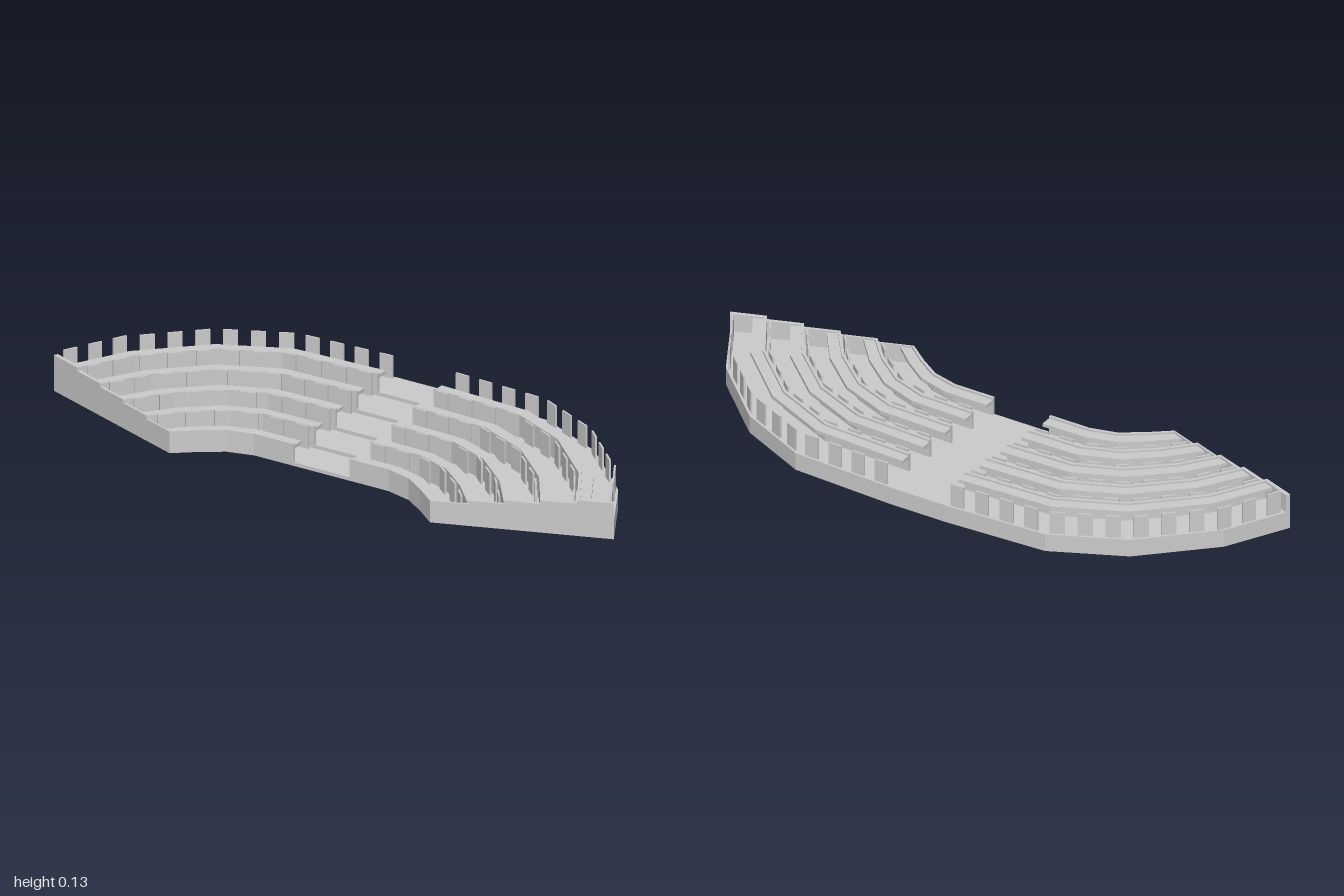
import * as THREE from 'three';

const TIERS = 5, RISE = 0.0117, DESK = 0.0605;
// Half plan (x, z) of the innermost and outermost edges, from aisle to end
const INNER = [[0.1, 0.235], [0.24, 0.235], [0.325, 0.257], [0.395, 0.303], [0.465, 0.358]];
const OUTER = [[0.1, -0.362], [0.445, -0.345], [0.68, -0.235], [0.89, -0.035], [1, 0.165]];
const mat = new THREE.MeshStandardMaterial({ color: 0xcccccc, side: THREE.DoubleSide, flatShading: true });

// Plan point: s runs 0..4 along the half row, t runs 0..1 from inside to outside
function plan(side, s, t) {
  const i = Math.min(3, Math.floor(s)), f = s - i, mix = THREE.MathUtils.lerp;
  const at = (c, a) => mix(c[i][a], c[i + 1][a], f);
  return new THREE.Vector2(side * mix(at(INNER, 0), at(OUTER, 0), t), mix(at(INNER, 1), at(OUTER, 1), t));
}

// Sweep a rectangular section (t0..t1, y0..y1) along stations [side, s], ordered from -x to +x
function band(name, stations, t0, t1, y0, y1) {
  const pos = [], idx = [];
  for (const [side, s] of stations) {
    const a = plan(side, s, t0), b = plan(side, s, t1);
    pos.push(a.x, y0, a.y, a.x, y1, a.y, b.x, y1, b.y, b.x, y0, b.y);
  }
  const last = (stations.length - 1) * 4;
  for (let i = 0; i < last; i += 4) {
    for (let j = 0; j < 4; j++) {
      const k = (j + 1) % 4;
      idx.push(i + j, i + 4 + j, i + 4 + k, i + j, i + 4 + k, i + k);
    }
  }
  idx.push(0, 1, 2, 0, 2, 3, last, last + 2, last + 1, last, last + 3, last + 2);
  const indexed = new THREE.BufferGeometry();
  indexed.setAttribute('position', new THREE.Float32BufferAttribute(pos, 3));
  indexed.setIndex(idx);
  const geo = indexed.toNonIndexed();
  geo.computeVertexNormals();
  const mesh = new THREE.Mesh(geo, mat);
  mesh.name = name;
  return mesh;
}

// Stations for one half, always ordered by rising x
const half = (side, list = [0, 1, 2, 3, 4]) => {
  const st = list.map((s) => [side, s]);
  return side < 0 ? st.reverse() : st;
};

// Row of upright seat backs spaced evenly along one half tier
function seatRow(side, t, floorY) {
  const row = new THREE.Group();
  row.name = 'seatRow';
  const path = new THREE.CurvePath();
  for (let i = 0; i < 4; i++) path.add(new THREE.LineCurve(plan(side, i, t), plan(side, i + 1, t)));
  const length = path.getLength(), n = Math.round(length / 0.084);
  const geo = new THREE.BoxGeometry(0.046, 0.075, 0.006);
  for (let i = 0; i < n; i++) {
    const u = (i + 0.42) / n, p = path.getPointAt(u), d = path.getTangentAt(u);
    const seat = new THREE.Mesh(geo, mat);
    seat.name = 'seatBack';
    seat.position.set(p.x, floorY + 0.0375, p.y);
    seat.rotation.y = -Math.atan2(d.y, d.x);
    row.add(seat);
  }
  return row;
}

export function createModel() {
  const model = new THREE.Group();
  model.name = 'tieredSeating';
  const full = [...half(-1), ...half(1)];

  for (let k = 0; k < TIERS; k++) {
    const t = k / TIERS, t1 = (k + 1) / TIERS, floorY = (k + 1) * RISE;
    const tier = new THREE.Group();
    tier.name = 'tier';
    // Thin floor with a riser reaching the ground
    tier.add(band('floor', full, t, t1, floorY - 0.004, floorY));
    tier.add(band('riser', full, t, t + 0.016, 0, floorY - 0.004));
    for (const side of [-1, 1]) {
      // Desk front with a shelf slightly below its rim
      tier.add(band('deskFront', half(side), t, t + 0.016, floorY, floorY + DESK));
      tier.add(band('deskShelf', half(side), t + 0.016, t + 0.076, floorY + 0.043, floorY + 0.054));
      // Stepped end wall
      tier.add(band('endWall', half(side, [3.94, 4]), t, t1, 0, floorY + DESK));
      tier.add(seatRow(side, t + 0.182, floorY));
    }
    model.add(tier);
  }

  // Wall closing the outside below the top floor
  model.add(band('backWall', full, 0.985, 1, 0, TIERS * RISE));
  return model;
}
